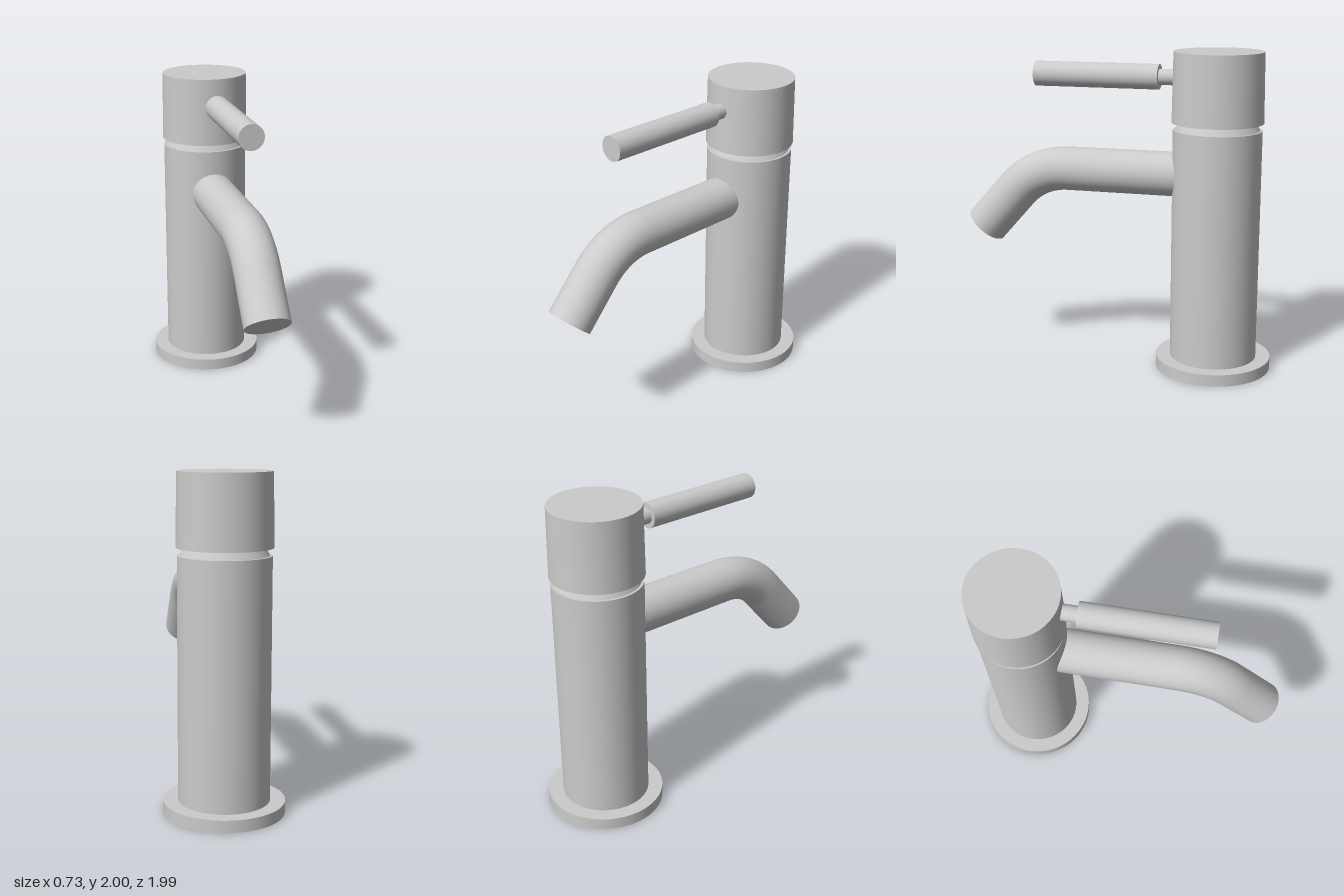
import * as THREE from 'three';

const AXIS_Z = -0.63; // centre line of the upright body
const material = new THREE.MeshStandardMaterial({ color: 0xcccccc });

function add(parent, name, geometry) {
  const mesh = new THREE.Mesh(geometry, material);
  mesh.name = name;
  parent.add(mesh);
  return mesh;
}

// Upright round part between two heights
function upright(parent, name, rBottom, rTop, y0, y1) {
  const geo = new THREE.CylinderGeometry(rTop, rBottom, y1 - y0, 64);
  add(parent, name, geo).position.set(0, (y0 + y1) / 2, AXIS_Z);
}

// Round bar pointing forward between two depths
function forwardBar(parent, name, r, y, z0, z1) {
  const geo = new THREE.CylinderGeometry(r, r, z1 - z0, 40).rotateX(Math.PI / 2);
  add(parent, name, geo).position.set(0, y, (z0 + z1) / 2);
}

// Spout centre line: straight run, circular bend, straight outlet
class SpoutCurve extends THREE.Curve {
  constructor(start, bendStart, y, radius, angle, outlet) {
    super();
    Object.assign(this, { start, bendStart, y, radius, angle, outlet });
    this.run = bendStart - start;
    this.arc = radius * angle;
  }
  getPoint(t, target = new THREE.Vector3()) {
    const s = t * (this.run + this.arc + this.outlet);
    if (s <= this.run) return target.set(0, this.y, this.start + s);
    const a = Math.min((s - this.run) / this.radius, this.angle);
    const rest = Math.max(0, s - this.run - this.arc);
    return target.set(
      0,
      this.y - this.radius * (1 - Math.cos(a)) - rest * Math.sin(a),
      this.bendStart + this.radius * Math.sin(a) + rest * Math.cos(a)
    );
  }
}

export function createModel() {
  const model = new THREE.Group();
  model.name = 'basinTap';

  // Upright body
  upright(model, 'baseFlange', 0.363, 0.363, 0, 0.074);
  upright(model, 'body', 0.273, 0.273, 0.074, 1.525);
  upright(model, 'neck', 0.257, 0.232, 1.525, 1.575);
  upright(model, 'cap', 0.281, 0.274, 1.57, 2);

  // Lever handle
  const lever = new THREE.Group();
  lever.name = 'lever';
  forwardBar(lever, 'leverStem', 0.049, 1.836, -0.45, -0.26);
  forwardBar(lever, 'leverRod', 0.078, 1.836, -0.265, 0.53);
  model.add(lever);

  // Bent spout with a closed outlet
  const angle = THREE.MathUtils.degToRad(48.6);
  const curve = new SpoutCurve(-0.6, 0.33, 1.235, 0.46, angle, 0.33);
  const spout = new THREE.Group();
  spout.name = 'spout';
  add(spout, 'spoutTube', new THREE.TubeGeometry(curve, 64, 0.139, 40));
  const outlet = add(spout, 'spoutOutlet', new THREE.CircleGeometry(0.139, 40));
  outlet.position.copy(curve.getPoint(1));
  outlet.rotation.x = angle;
  model.add(spout);

  return model;
}
